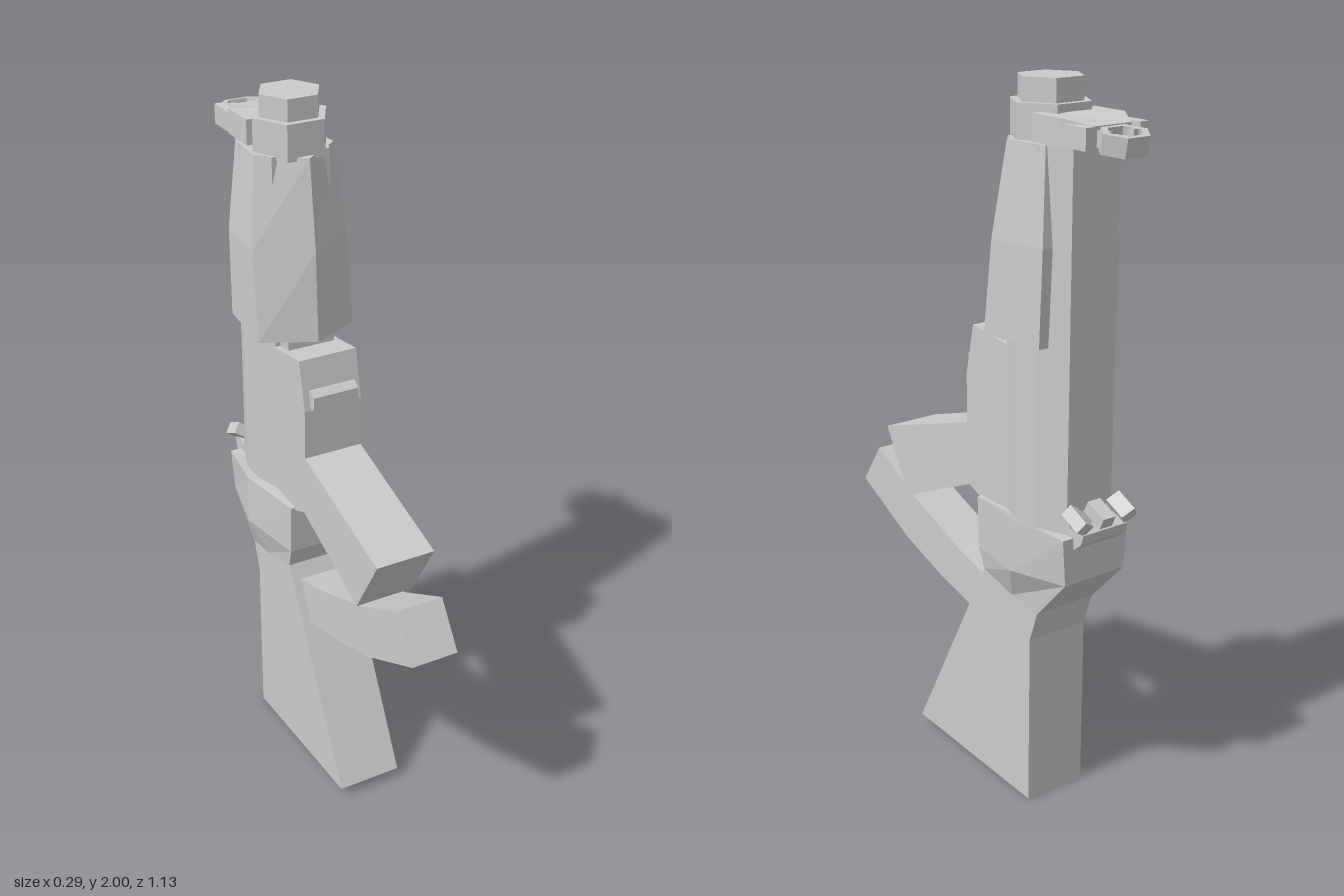
import * as THREE from 'three';

const material = new THREE.MeshStandardMaterial({ color: 0xcccccc, flatShading: true });

function add(group, name, geometry, x = 0, y = 0, z = 0) {
  const mesh = new THREE.Mesh(geometry, material);
  mesh.name = name;
  mesh.position.set(x, y, z);
  group.add(mesh);
  return mesh;
}

// Side outline of [z, y] points, extruded evenly to both sides of x = 0
function slab(outline, halfWidth) {
  const shape = new THREE.Shape(outline.map(([z, y]) => new THREE.Vector2(z, y)));
  const g = new THREE.ExtrudeGeometry(shape, { depth: halfWidth * 2, bevelEnabled: false });
  return g.translate(0, 0, -halfWidth).rotateY(-Math.PI / 2);
}

// Skin over cross-sections listed bottom to top. Each holds the +x half, front to back, as [x, y, z]
function loft(sections) {
  const rings = sections.map((half) => {
    const mirrored = half.filter((p) => p[0] > 0).reverse().map(([x, y, z]) => [-x, y, z]);
    return [...half, ...mirrored];
  });
  const pos = [];
  const n = rings[0].length;
  for (let r = 0; r < rings.length - 1; r++) {
    for (let i = 0; i < n; i++) {
      const j = (i + 1) % n;
      const [a, b, c, d] = [rings[r][i], rings[r][j], rings[r + 1][j], rings[r + 1][i]];
      pos.push(...a, ...b, ...c, ...a, ...c, ...d);
    }
  }
  const low = rings[0], high = rings[rings.length - 1];
  for (let i = 1; i < n - 1; i++) {
    pos.push(...low[0], ...low[i + 1], ...low[i], ...high[0], ...high[i], ...high[i + 1]);
  }
  const g = new THREE.BufferGeometry();
  g.setAttribute('position', new THREE.Float32BufferAttribute(pos, 3));
  g.computeVertexNormals();
  return g;
}

// Upright hexagonal prism with its points along x
function hexPrism(radius, height) {
  return new THREE.CylinderGeometry(radius, radius, height, 6).rotateY(Math.PI / 6 + Math.PI / 3);
}

const level = (y, points) => points.map(([x, z]) => [x, y, z]);

export function createModel() {
  const model = new THREE.Group();

  // Stock and the flared receiver above it
  add(model, 'stock', slab([[0.23, 0.03], [-0.295, 0], [-0.295, 0.5], [-0.325, 0.59],
    [-0.2, 0.63], [-0.09, 0.64], [-0.07, 0.6]], 0.096));
  add(model, 'receiver', loft([
    [[0.096, 0.64, -0.09], [0.1, 0.61, -0.22], [0.096, 0.59, -0.325]],
    [[0.1, 0.7, -0.07], [0.14, 0.71, -0.265], [0.1, 0.72, -0.445]],
    [[0.1, 0.85, -0.065], [0.14, 0.86, -0.265], [0.11, 0.85, -0.445]],
  ]));

  // Long chamfered body running up behind the handguard
  const bodySection = [[0.085, -0.175], [0.11, -0.245], [0.11, -0.325], [0.075, -0.418]];
  add(model, 'body', loft([level(0.82, bodySection), level(1.85, bodySection)]));

  // Handguard with a ridge down its front
  add(model, 'handguard', loft([
    level(1.345, [[0, -0.083], [0.145, -0.155], [0.127, -0.36]]),
    level(1.6, [[0, -0.095], [0.143, -0.185], [0.125, -0.368]]),
    level(1.85, [[0, -0.125], [0.118, -0.215], [0.105, -0.35]]),
  ]));

  // Grip housing, its front catch and the curved magazine
  add(model, 'gripHousing', slab([[-0.03, 1.33], [-0.17, 1.31], [-0.2, 1.31], [-0.2, 0.82],
    [-0.08, 0.82], [-0.07, 0.84], [-0.01, 0.865], [0.295, 0.735], [0.4, 0.92], [0, 1.045], [0, 1.19]], 0.087));
  add(model, 'frontCatch', slab([[0.0, 1.19], [0.018, 1.2], [0.018, 1.235], [0, 1.25], [-0.03, 1.24]], 0.068));
  add(model, 'housingCollar', new THREE.BoxGeometry(0.14, 0.06, 0.08), 0, 1.33, -0.165);
  add(model, 'magazine', slab([[0.475, 0.825], [0.56, 0.7], [0.33, 0.58], [0.16, 0.52], [-0.01, 0.473],
    [-0.07, 0.595], [0.07, 0.637], [0.29, 0.725]], 0.069));

  // Stepped hexagonal muzzle
  add(model, 'muzzleBase', hexPrism(0.108, 0.1), 0, 1.89, -0.238);
  add(model, 'muzzleTip', hexPrism(0.088, 0.1), 0, 1.95, -0.238);

  // Front sight: base block, side ears, hexagonal hoop and post
  const frontSight = new THREE.Group();
  frontSight.name = 'frontSight';
  const baseSection = [[0.1, -0.29], [0.1, -0.4], [0.06, -0.47]];
  add(frontSight, 'sightBase', loft([level(1.85, baseSection),
    [[0.1, 1.92, -0.29], [0.1, 1.92, -0.4], [0.06, 1.905, -0.47]]]));
  for (const side of [-1, 1]) {
    add(frontSight, 'sightEar', new THREE.BoxGeometry(0.028, 0.055, 0.1), side * 0.085, 1.88, -0.44);
    add(frontSight, 'sightWing', new THREE.BoxGeometry(0.016, 0.04, 0.05), side * 0.04, 1.875, -0.485);
  }
  const hexPoints = (r) => Array.from({ length: 6 }, (_, i) =>
    new THREE.Vector2(r * Math.cos(i * Math.PI / 3), 0.82 * r * Math.sin(i * Math.PI / 3)));
  const hoop = new THREE.Shape(hexPoints(0.07));
  hoop.holes.push(new THREE.Path(hexPoints(0.05)));
  const hoopMesh = add(frontSight, 'sightHoop', new THREE.ExtrudeGeometry(hoop, { depth: 0.05, bevelEnabled: false })
    .translate(0, 0, -0.025).rotateX(-Math.PI / 2), 0, 1.87, -0.512);
  hoopMesh.rotation.x = -0.16;
  add(frontSight, 'sightPost', new THREE.BoxGeometry(0.014, 0.025, 0.05), 0, 1.87, -0.48);
  add(frontSight, 'sightBead', new THREE.CylinderGeometry(0.015, 0.015, 0.025, 6), 0, 1.87, -0.508);
  model.add(frontSight);

  // Rear sight: notched mount and small turned knobs
  const rearSight = new THREE.Group();
  rearSight.name = 'rearSight';
  add(rearSight, 'rearMount', slab([[-0.36, 0.82], [-0.45, 0.82], [-0.475, 0.84], [-0.485, 0.87],
    [-0.46, 0.885], [-0.43, 0.87], [-0.41, 0.93], [-0.375, 0.93], [-0.375, 0.83]], 0.075));
  for (const side of [-1, 0, 1]) {
    const knob = add(rearSight, 'rearKnob', new THREE.BoxGeometry(0.042, 0.035, 0.07), side * 0.075, 0.905, -0.46);
    knob.rotation.set(-0.45, 0, side * 0.6);
  }
  model.add(rearSight);

  return model;
}
